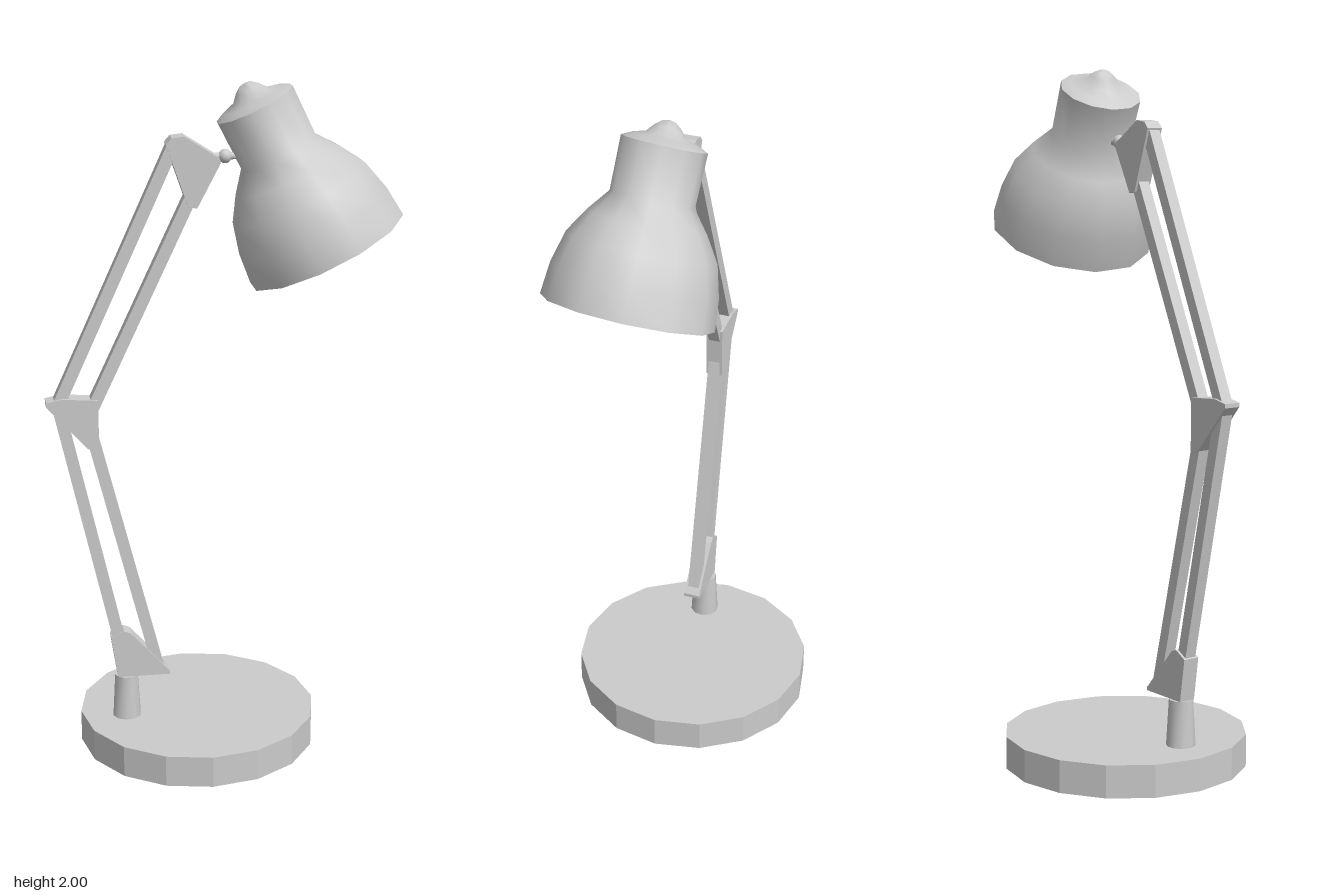
import * as THREE from 'three';
import { toCreasedNormals } from 'three/addons/utils/BufferGeometryUtils.js';

const smooth = new THREE.MeshStandardMaterial({ color: 0xcccccc });
const flat = new THREE.MeshStandardMaterial({ color: 0xcccccc, flatShading: true });

function add(parent, name, geometry, material, x = 0, y = 0, z = 0) {
  const mesh = new THREE.Mesh(geometry, material);
  mesh.name = name;
  mesh.position.set(x, y, z);
  parent.add(mesh);
  return mesh;
}

// Flat plate cut from an outline in the plane of the arm
function bracket(parent, name, outline) {
  const depth = 0.05;
  const shape = new THREE.Shape(outline.map(([x, y]) => new THREE.Vector2(x, y)));
  const geometry = new THREE.ExtrudeGeometry(shape, { depth, bevelEnabled: false });
  add(parent, name, geometry.translate(0, 0, -depth / 2), flat);
}

// Square rod between two points in the plane of the arm
function rod(parent, name, [x1, y1], [x2, y2]) {
  const length = Math.hypot(x2 - x1, y2 - y1);
  const mesh = add(parent, name, new THREE.BoxGeometry(0.035, length, 0.035), flat,
    (x1 + x2) / 2, (y1 + y2) / 2);
  mesh.rotation.z = -Math.atan2(x2 - x1, y2 - y1);
}

export function createModel() {
  const lamp = new THREE.Group();
  lamp.name = 'deskLamp';

  // Base and post
  add(lamp, 'base', new THREE.CylinderGeometry(0.354, 0.354, 0.095, 16), flat, -0.087, 0.0475, 0.04);
  const post = toCreasedNormals(new THREE.CylinderGeometry(0.035, 0.043, 0.14, 10), 0.8);
  add(lamp, 'post', post, smooth, -0.216, 0.16, 0.22);

  // Arm, built in its own plane and turned diagonally across the base
  const arm = new THREE.Group();
  arm.name = 'arm';
  arm.rotation.y = Math.PI / 4;
  arm.position.set(0.0025, 0, 0.0025);
  lamp.add(arm);

  bracket(arm, 'lowerBracket', [
    [-0.335, 0.23], [-0.18, 0.23], [-0.18, 0.24], [-0.295, 0.37], [-0.315, 0.378], [-0.354, 0.357],
  ]);
  bracket(arm, 'elbowBracket', [
    [-0.527, 1.092], [-0.41, 0.96], [-0.378, 0.95], [-0.378, 1.105], [-0.48, 1.113], [-0.527, 1.104],
  ]);
  bracket(arm, 'upperBracket', [
    [-0.176, 1.838], [-0.115, 1.66], [-0.09, 1.656], [-0.022, 1.785],
    [-0.028, 1.797], [-0.125, 1.86], [-0.16, 1.856],
  ]);

  rod(arm, 'lowerRearRod', [-0.325, 0.33], [-0.495, 1.1]);
  rod(arm, 'lowerFrontRod', [-0.21, 0.24], [-0.395, 0.99]);
  rod(arm, 'upperRearRod', [-0.495, 1.085], [-0.152, 1.84]);
  rod(arm, 'upperFrontRod', [-0.397, 1.07], [-0.105, 1.69]);

  // Ball joint and pin that carry the head
  add(arm, 'ballJoint', new THREE.SphereGeometry(0.02, 10, 8), smooth, -0.008, 1.797);
  const pin = add(arm, 'headPin', new THREE.CylinderGeometry(0.01, 0.01, 0.1, 8), smooth, 0.005, 1.797);
  pin.rotation.z = Math.PI / 2;

  // Head, with its origin at the top edge of the neck and +y pointing back out of the shade
  const head = new THREE.Group();
  head.name = 'head';
  head.position.set(0.052, 1.94, -0.055);
  head.quaternion.setFromUnitVectors(
    new THREE.Vector3(0, 1, 0), new THREE.Vector3(-0.36, 0.895, 0.255).normalize());
  lamp.add(head);

  // Shade profile: inside surface down to the rim, then outside up to the domed cap
  const profile = [
    [0, -0.12], [0.1, -0.15], [0.15, -0.21], [0.192, -0.28], [0.217, -0.37], [0.226, -0.46],
    [0.24, -0.46], [0.231, -0.37], [0.207, -0.28], [0.163, -0.21], [0.116, -0.15],
    [0.118, 0], [0.09, 0.014], [0.055, 0.024], [0.036, 0.046], [0.018, 0.06], [0, 0.064],
  ].map(([r, y]) => new THREE.Vector2(r, y));
  add(head, 'shade', toCreasedNormals(new THREE.LatheGeometry(profile, 12), 0.95), smooth);

  // Bulb and socket
  add(head, 'socket', new THREE.CylinderGeometry(0.04, 0.04, 0.16, 12), smooth, 0, -0.19, 0);
  add(head, 'bulb', new THREE.SphereGeometry(0.09, 16, 12), smooth, 0, -0.345, 0);

  return lamp;
}
